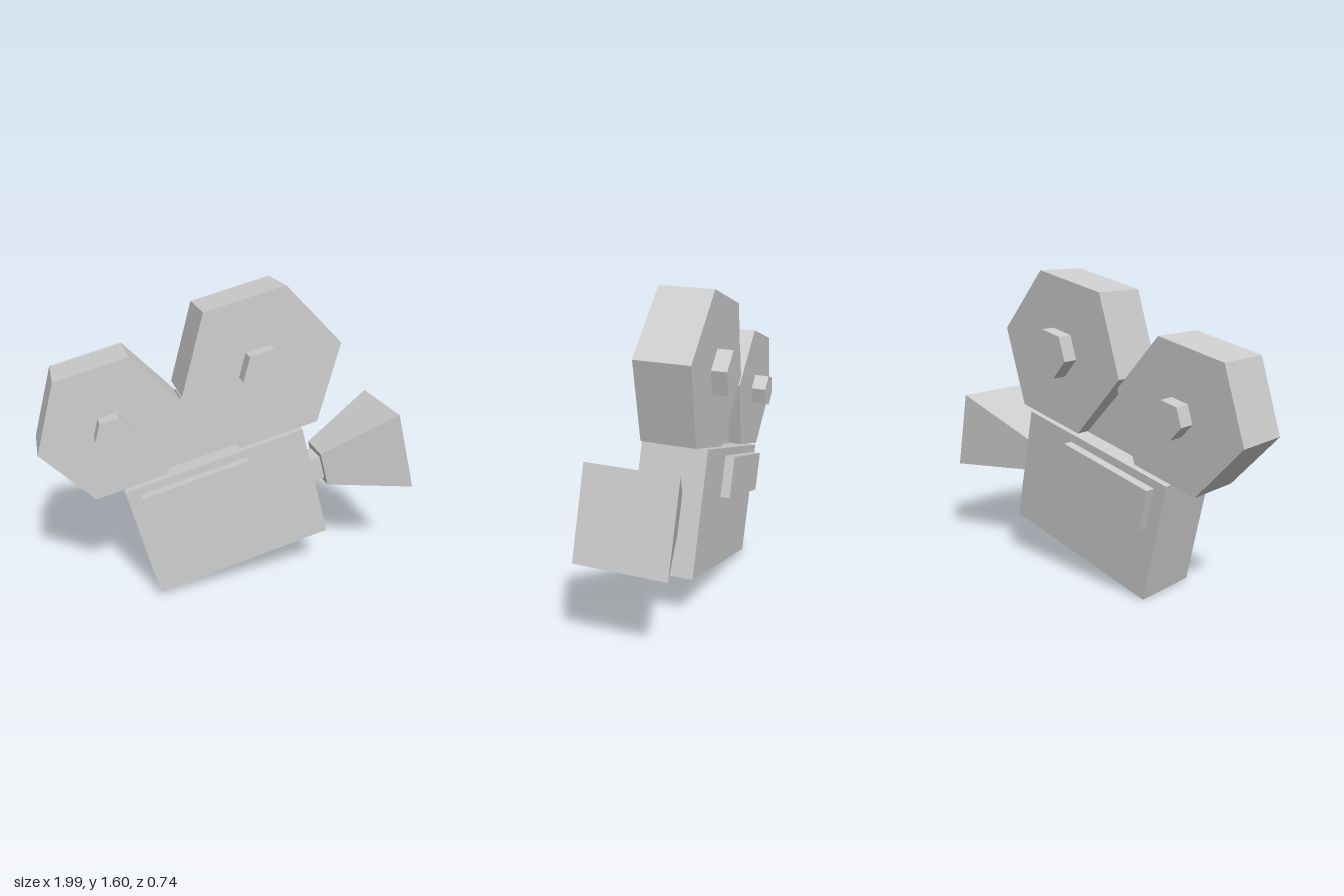
import * as THREE from 'three';

const MID = -0.17; // middle of the thickness, measured from the body's front face

export function createModel() {
  const material = new THREE.MeshStandardMaterial({ color: 0xcccccc, flatShading: true });
  const camera = new THREE.Group();
  camera.name = 'filmCamera';

  function add(name, geometry, x, y, z = MID) {
    const mesh = new THREE.Mesh(geometry, material);
    mesh.name = name;
    mesh.position.set(x, y, z);
    camera.add(mesh);
  }

  // Six-sided disc facing front, with corners pointing left and right
  function hexDisc(radius, depth) {
    return new THREE.CylinderGeometry(radius, radius, depth, 6).rotateY(Math.PI / 2).rotateX(Math.PI / 2);
  }

  // Body and the raised panels on both of its faces
  add('body', new THREE.BoxGeometry(0.96, 0.63, 0.34), 0.48, 0.315);
  for (const [name, z] of [['frontPanel', 0.02], ['backPanel', -0.36]]) {
    add(name, new THREE.BoxGeometry(0.57, 0.215, 0.06), 0.352, 0.481, z);
  }

  // Film reels with hubs sticking out on both sides
  const reels = [['small', 0.042, 0.957, 0.373, 0.093], ['large', 0.841, 1.002, 0.427, 0.128]];
  for (const [size, x, y, radius, hubRadius] of reels) {
    add(size + 'Reel', hexDisc(radius, 0.28), x, y);
    add(size + 'ReelHub', hexDisc(hubRadius, 0.44), x, y);
  }

  // Wedge filling the gap between the reels
  const wedge = new THREE.Shape([
    new THREE.Vector2(0.228, 0.625),
    new THREE.Vector2(0.63, 0.625),
    new THREE.Vector2(0.414, 0.98),
  ]);
  add('reelWedge', new THREE.ExtrudeGeometry(wedge, { depth: 0.14, bevelEnabled: false }), 0, 0, MID - 0.07);

  // Lens neck and flared square hood
  add('lensNeck', new THREE.BoxGeometry(0.11, 0.13, 0.13), 1.0, 0.32);
  const hood = new THREE.CylinderGeometry(0.221 * Math.SQRT2, 0.096 * Math.SQRT2, 0.43, 4)
    .rotateY(Math.PI / 4).rotateZ(-Math.PI / 2);
  add('lensHood', hood, 1.26, 0.32);

  // Tilt the whole camera into its resting pose
  const along = new THREE.Vector3(0.957, 0.245, 0.156).normalize();
  const up = new THREE.Vector3(-0.234, 0.968, -0.081);
  const out = new THREE.Vector3().crossVectors(along, up).normalize();
  up.crossVectors(out, along);
  const pose = new THREE.Matrix4().makeBasis(along, up, out).setPosition(-0.46, 0.017, 0.1);
  camera.applyMatrix4(pose);

  const model = new THREE.Group();
  model.name = 'model';
  model.add(camera);
  return model;
}
